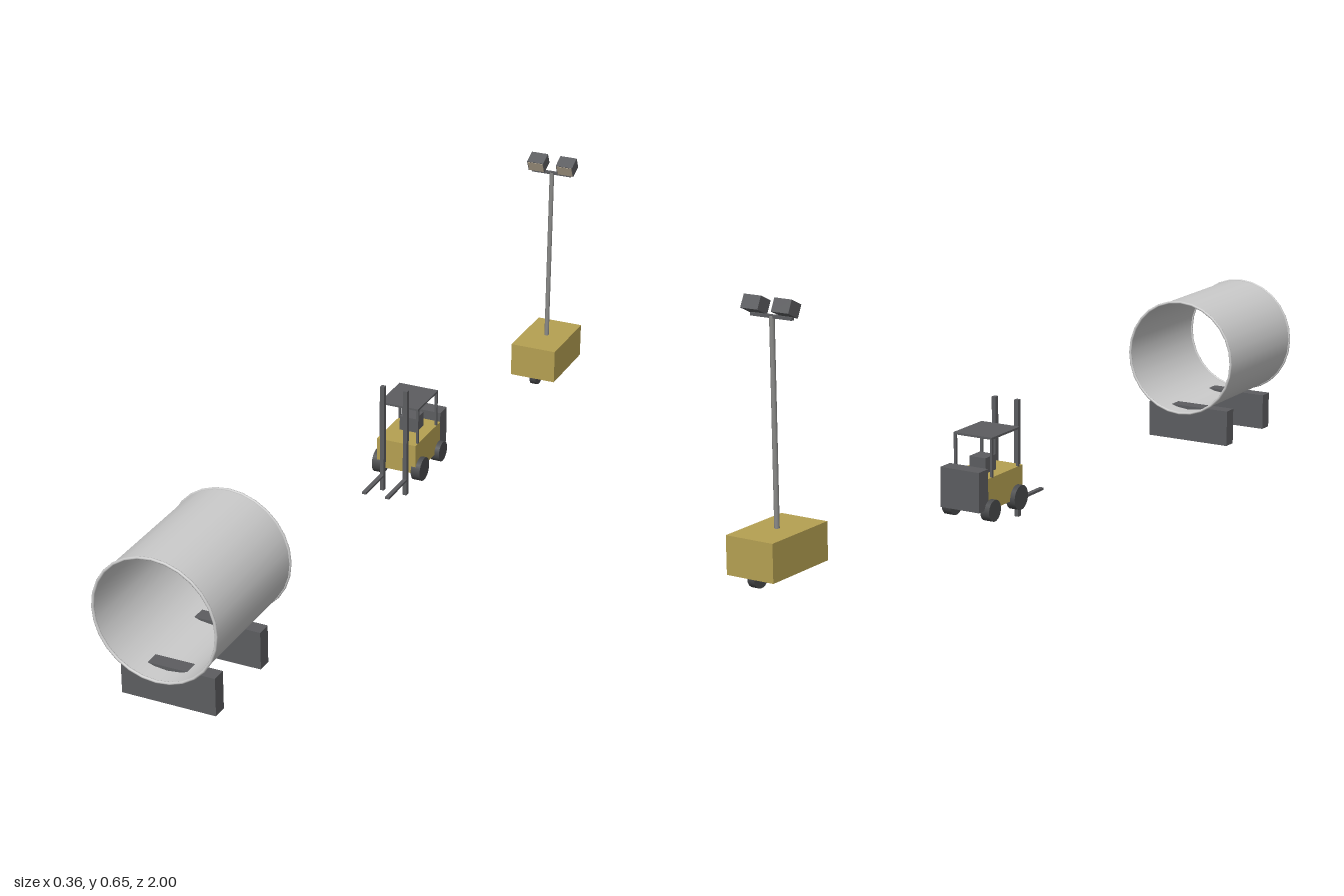
import * as THREE from 'three';

const mat = (color) => new THREE.MeshStandardMaterial({ color });

export function createModel() {
  const root = new THREE.Group();
  const yellow = mat(0xb5a052), dark = mat(0x5c5d60), black = mat(0x4a4b4d);
  const steel = mat(0x8a8a88), lens = mat(0xb8aa94), concrete = mat(0xcccccc);
  concrete.side = THREE.DoubleSide;

  const group = (name, x, y, z) => {
    const g = new THREE.Group();
    g.name = name;
    g.position.set(x, y, z);
    root.add(g);
    return g;
  };
  const add = (parent, name, geometry, material, x, y, z) => {
    const m = new THREE.Mesh(geometry, material);
    m.name = name;
    m.position.set(x, y, z);
    parent.add(m);
    return m;
  };
  const box = (parent, name, material, w, h, d, x, y, z) =>
    add(parent, name, new THREE.BoxGeometry(w, h, d), material, x, y, z);
  const wheel = (parent, r, width, x, y, z) =>
    add(parent, 'wheel', new THREE.CylinderGeometry(r, r, width, 18).rotateZ(Math.PI / 2), black, x, y, z);

  // Open tunnel pipe with rolled rims, resting on two cradles
  const pipe = group('pipeSection', -0.025, 0, 0.825);
  const shell = new THREE.CylinderGeometry(0.148, 0.148, 0.346, 28, 1, true).rotateX(Math.PI / 2);
  add(pipe, 'pipeShell', shell, concrete, 0, 0.232, 0);
  for (const s of [-1, 1]) {
    const rim = new THREE.TorusGeometry(0.148, 0.0035, 8, 28).rotateZ(Math.PI / 2);
    add(pipe, 'pipeRim', rim, concrete, 0, 0.232, s * 0.1715);
    box(pipe, 'cradle', dark, 0.23, 0.093, 0.036, 0, 0.0465, s * 0.105);
  }

  // Forklift, with forks towards the front
  const lift = group('forklift', 0.01, 0, 0);
  box(lift, 'body', yellow, 0.105, 0.077, 0.152, 0, 0.0985, -0.234);
  box(lift, 'counterweight', dark, 0.105, 0.096, 0.04, 0, 0.113, -0.329);
  box(lift, 'seat', dark, 0.044, 0.042, 0.046, 0, 0.153, -0.25);
  box(lift, 'roof', dark, 0.105, 0.005, 0.122, 0, 0.229, -0.232);
  for (const s of [-1, 1]) {
    box(lift, 'mast', dark, 0.0105, 0.284, 0.012, s * 0.031, 0.147, -0.146);
    box(lift, 'fork', dark, 0.0105, 0.006, 0.112, s * 0.031, 0.046, -0.092);
    for (const z of [-0.175, -0.289])
      box(lift, 'roofPost', dark, 0.006, 0.092, 0.006, s * 0.0495, 0.182, z);
    wheel(lift, 0.03, 0.024, s * 0.053, 0.0645, -0.184);
    wheel(lift, 0.026, 0.024, s * 0.053, 0.061, -0.3);
  }

  // Trailer with a lighting mast
  const tower = group('lightTower', 0.1165, 0, -0.902);
  box(tower, 'trailerBody', yellow, 0.123, 0.088, 0.196, 0, 0.103, 0);
  for (const s of [-1, 1]) wheel(tower, 0.026, 0.018, 0, 0.059, s * 0.07);
  add(tower, 'pole', new THREE.CylinderGeometry(0.006, 0.006, 0.464, 12), steel, 0, 0.379, 0);
  box(tower, 'crossbar', dark, 0.108, 0.007, 0.008, 0, 0.61, 0);

  // Twin floodlights tilted down towards the front
  for (const s of [-1, 1]) {
    const lamp = new THREE.Group();
    lamp.name = 'floodlight';
    lamp.position.set(s * 0.04, 0.6325, -0.003);
    lamp.rotation.x = 0.45;
    box(lamp, 'lampHousing', dark, 0.045, 0.031, 0.037, 0, 0, 0);
    box(lamp, 'lampLens', lens, 0.041, 0.028, 0.002, 0, 0, 0.0186);
    tower.add(lamp);
  }
  return root;
}
